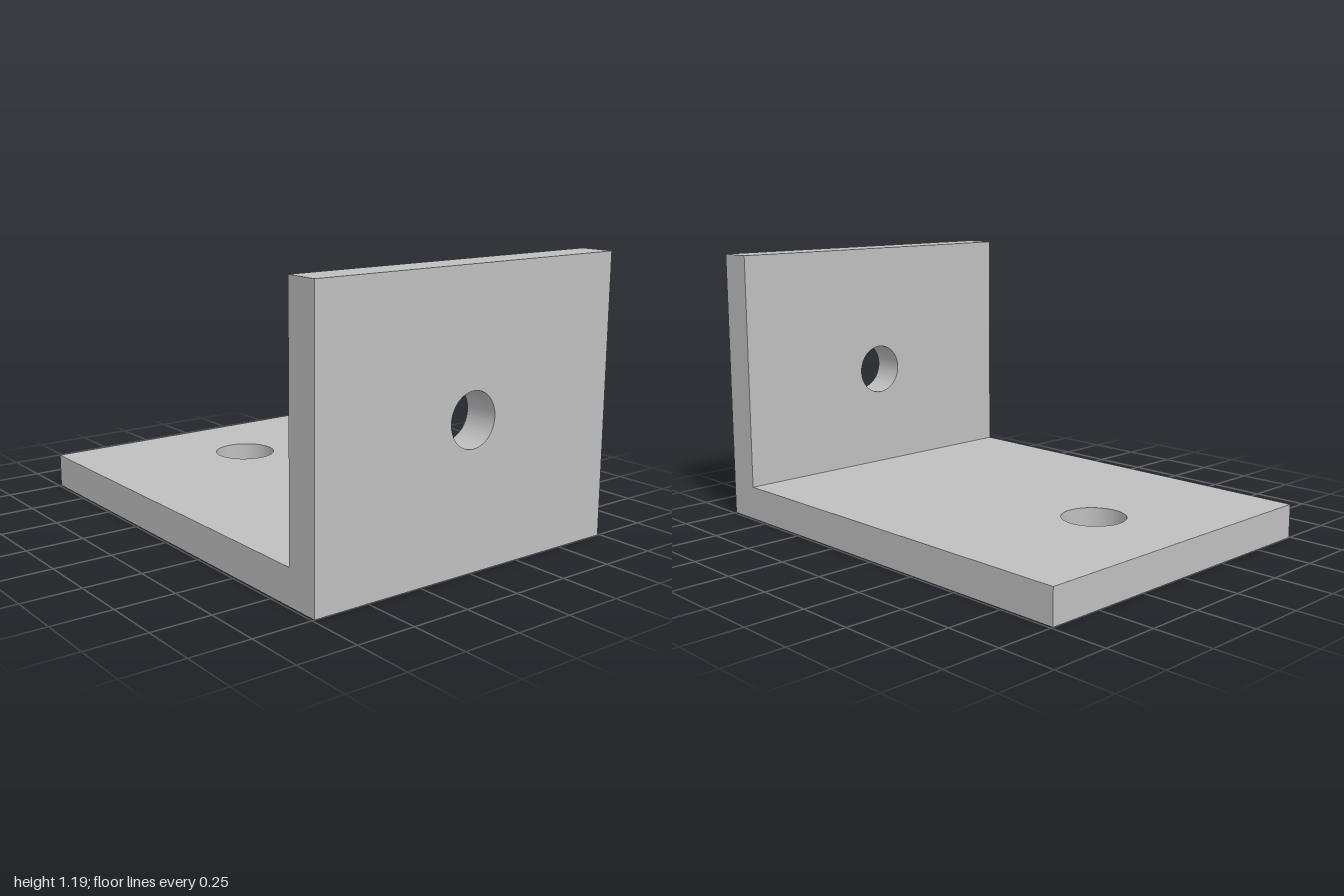
import * as THREE from 'three';
import { toCreasedNormals } from 'three/addons/utils/BufferGeometryUtils.js';

const HALF_WIDTH = 0.74;
const HEIGHT = 1.187;
const THICKNESS = 0.148;

// Rectangular plate in the XY plane with one round hole, extruded along +z
function drilledPlate(y0, y1, holeY, holeRadius) {
  const shape = new THREE.Shape();
  shape.moveTo(-HALF_WIDTH, y0);
  shape.lineTo(HALF_WIDTH, y0);
  shape.lineTo(HALF_WIDTH, y1);
  shape.lineTo(-HALF_WIDTH, y1);
  shape.closePath();

  const hole = new THREE.Path();
  hole.absarc(0, holeY, holeRadius, 0, Math.PI * 2, true);
  shape.holes.push(hole);

  const geometry = new THREE.ExtrudeGeometry(shape, {
    depth: THICKNESS, bevelEnabled: false, curveSegments: 64,
  });
  return toCreasedNormals(geometry, Math.PI / 6);
}

export function createModel() {
  const model = new THREE.Group();
  model.name = 'angleBracket';

  const steel = new THREE.MeshStandardMaterial({ color: 0xbfbfbf });
  steel.name = 'grey steel';

  // Upright plate along the front edge
  const upright = new THREE.Mesh(drilledPlate(0, HEIGHT, 0.603, 0.112), steel);
  upright.name = 'uprightPlate';
  upright.position.z = 1 - THICKNESS;

  // Base plate lying flat behind it; shape y becomes -z
  const baseGeometry = drilledPlate(THICKNESS - 1, 1, 0.535, 0.136);
  baseGeometry.rotateX(-Math.PI / 2);
  const base = new THREE.Mesh(baseGeometry, steel);
  base.name = 'basePlate';

  model.add(upright, base);
  return model;
}
